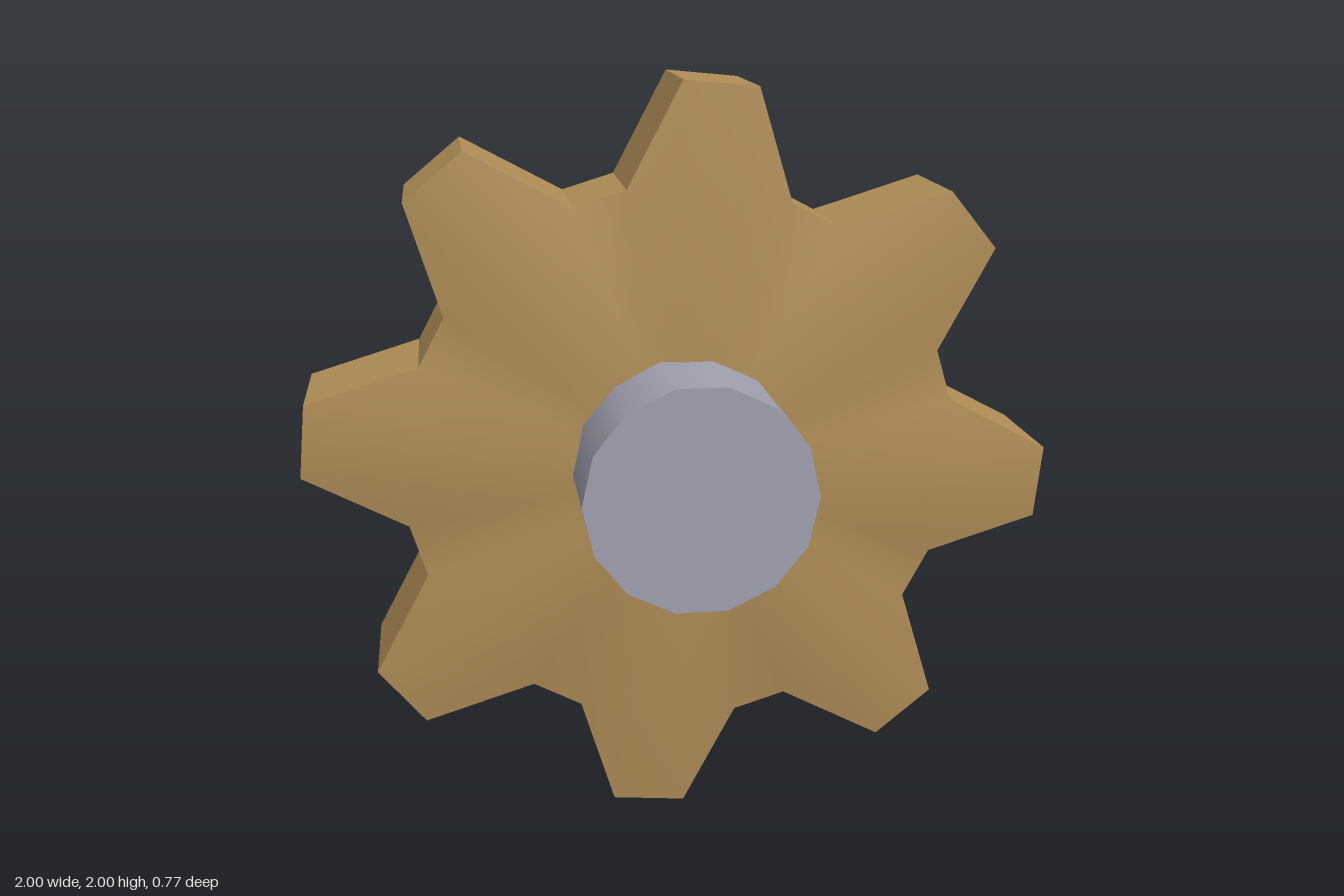
import * as THREE from 'three';

const TEETH = 8, FRONT = 0.05, BACK = -0.285, RISE = 0.1;

// Gear outline, clockwise from the top: two tip points, then two root points per tooth
const outline = Array.from({ length: TEETH * 4 }, (_, i) => {
  const a = (i / (TEETH * 4)) * Math.PI * 2;
  const r = i % 4 < 2 ? 1 : 0.742;
  return [r * Math.sin(a), r * Math.cos(a)];
});

function buildGeometry(positions, index) {
  const g = new THREE.BufferGeometry();
  g.setAttribute('position', new THREE.Float32BufferAttribute(positions, 3));
  if (index) g.setIndex(index);
  g.computeVertexNormals();
  return g;
}

// Shallow smooth cone from the outline to a central apex
function capGeometry(z, apexZ) {
  const n = outline.length, positions = [0, 0, apexZ], index = [];
  outline.forEach(([x, y], i) => {
    positions.push(x, y, z);
    const a = i + 1, b = ((i + 1) % n) + 1;
    index.push(0, ...(apexZ > z ? [b, a] : [a, b]));
  });
  return buildGeometry(positions, index);
}

// Flat walls around the teeth
function wallGeometry() {
  const positions = [];
  outline.forEach(([x, y], i) => {
    const [u, v] = outline[(i + 1) % outline.length];
    positions.push(x, y, FRONT, u, v, FRONT, u, v, BACK);
    positions.push(x, y, FRONT, u, v, BACK, x, y, BACK);
  });
  return buildGeometry(positions);
}

export function createModel() {
  const bronze = new THREE.MeshStandardMaterial({ color: 0xb08d57 });
  bronze.name = 'bronze';
  const steel = new THREE.MeshStandardMaterial({ color: 0xa0a0b0 });
  steel.name = 'steel';

  const model = new THREE.Group();
  model.name = 'gear';
  const add = (name, geometry, material) => {
    const mesh = new THREE.Mesh(geometry, material);
    mesh.name = name;
    mesh.position.y = 1;
    model.add(mesh);
  };

  // Toothed wheel
  add('frontFace', capGeometry(FRONT, FRONT + RISE), bronze);
  add('backFace', capGeometry(BACK, BACK - RISE), bronze);
  add('toothWalls', wallGeometry(), bronze);

  // Axle stub with corners on the x axis
  const axle = new THREE.CylinderGeometry(0.3, 0.3, 0.385, 14);
  axle.rotateY(Math.PI / 2).rotateX(Math.PI / 2).translate(0, 0, 0.1925);
  add('axle', axle, steel);

  return model;
}
